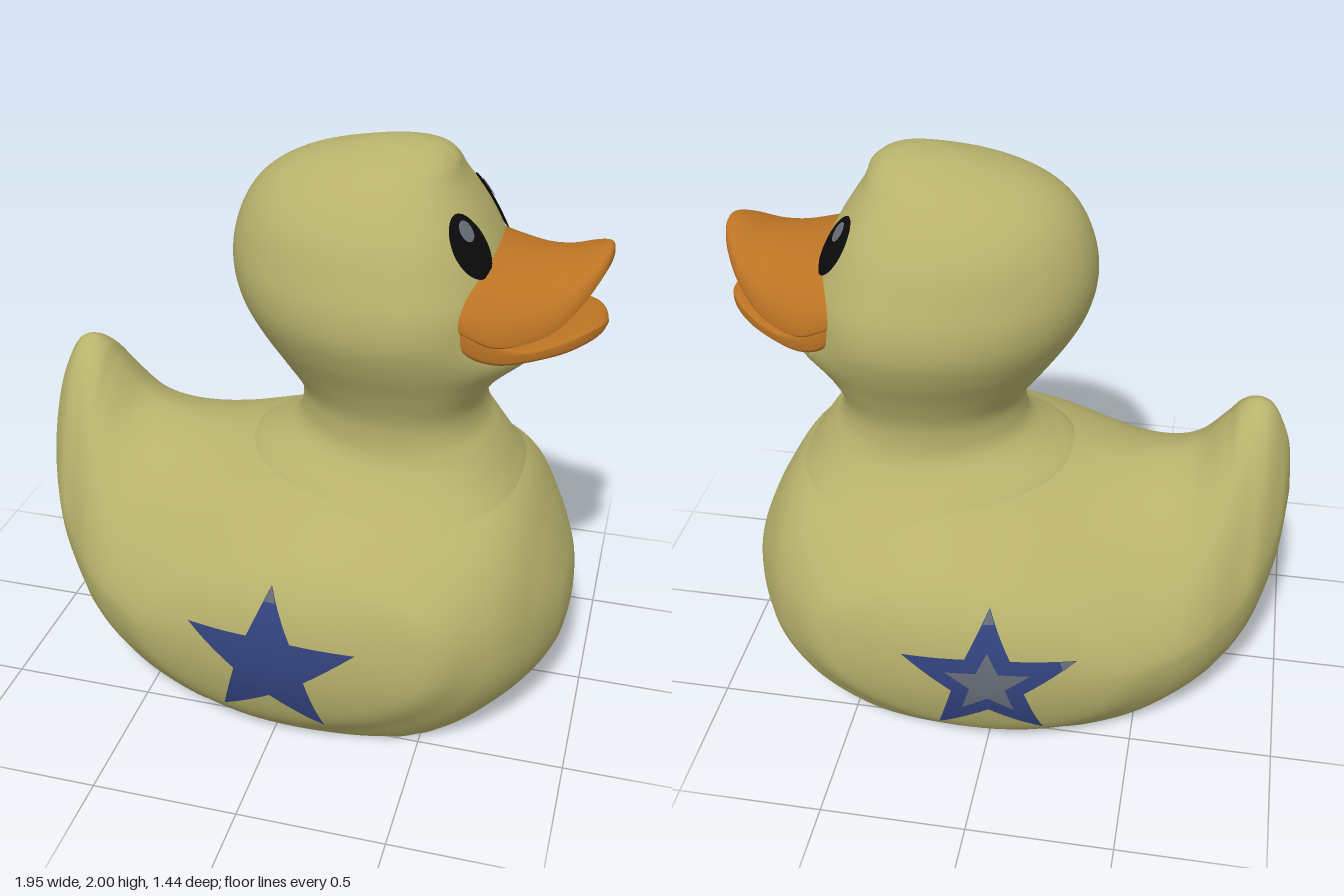
import * as THREE from 'three';

const mat = (name, color, side = THREE.FrontSide) => {
  const m = new THREE.MeshStandardMaterial({ color, side });
  m.name = name;
  return m;
};

// Smooth curve through the rows of a table, s from 0 to 1
function rowAt(table, s) {
  const last = table.length - 1;
  const f = Math.min(Math.max(s, 0), 1) * last;
  const i = Math.min(Math.floor(f), last - 1), t = f - i;
  const at = k => table[Math.min(Math.max(k, 0), last)];
  const [a, b, c, d] = [at(i - 1), at(i), at(i + 1), at(i + 2)];
  return b.map((_, k) => 0.5 * (2 * b[k] + (c[k] - a[k]) * t
    + (2 * a[k] - 5 * b[k] + 4 * c[k] - d[k]) * t * t
    + (3 * b[k] - a[k] - 3 * c[k] + d[k]) * t * t * t));
}

// Row whose first column equals a given value
function rowFor(table, value) {
  let lo = 0, hi = 1;
  for (let i = 0; i < 30; i++) {
    const mid = (lo + hi) / 2;
    if (rowAt(table, mid)[0] < value) lo = mid; else hi = mid;
  }
  return rowAt(table, lo);
}

function geometryFrom(points, index) {
  const g = new THREE.BufferGeometry();
  g.setAttribute('position', new THREE.Float32BufferAttribute(points, 3));
  g.setIndex(index);
  g.computeVertexNormals();
  return g;
}

// Skin over closed rings; ring(row, angle) gives a point
function loft(table, ring, steps, sides) {
  const points = [], index = [];
  for (let i = 0; i <= steps; i++) {
    const row = rowAt(table, i / steps);
    for (let j = 0; j < sides; j++) points.push(...ring(row, (j / sides) * Math.PI * 2));
  }
  for (let i = 0; i < steps; i++) {
    for (let j = 0; j < sides; j++) {
      const a = i * sides + j, c = i * sides + (j + 1) % sides;
      index.push(a, a + sides, c, c, a + sides, c + sides);
    }
  }
  return geometryFrom(points, index);
}

// Thin painted patch: an outline filled with rings and laid on a surface
function patch(outline, centre, place, rings = 8) {
  const points = [], index = [], n = outline.length;
  for (let i = 0; i <= rings; i++) {
    for (const [u, v] of outline) {
      const k = i / rings;
      points.push(...place(centre[0] + (u - centre[0]) * k, centre[1] + (v - centre[1]) * k));
    }
  }
  for (let i = 0; i < rings; i++) {
    for (let j = 0; j < n; j++) {
      const a = i * n + j, b = i * n + (j + 1) % n;
      index.push(a, a + n, b, b, a + n, b + n);
    }
  }
  return geometryFrom(points, index);
}

function subdivide(corners, n) {
  return corners.flatMap((p, i) => {
    const q = corners[(i + 1) % corners.length];
    return Array.from({ length: n }, (_, k) => [p[0] + (q[0] - p[0]) * k / n, p[1] + (q[1] - p[1]) * k / n]);
  });
}

// Body and tail: x, lowest y, widest y, top y, half width
const BODY = [
  [-0.975, 0.8, 0.8, 0.8, 0], [-0.96, 0.58, 0.76, 0.97, 0.12], [-0.93, 0.42, 0.68, 1.07, 0.2],
  [-0.885, 0.27, 0.6, 1.15, 0.28], [-0.83, 0.16, 0.52, 1.17, 0.335], [-0.78, 0.1, 0.48, 1.145, 0.385],
  [-0.735, 0.055, 0.45, 1.085, 0.43], [-0.64, -0.02, 0.42, 0.975, 0.5], [-0.5, -0.12, 0.4, 0.92, 0.565],
  [-0.32, -0.2, 0.4, 0.9, 0.62], [-0.1, -0.25, 0.4, 0.92, 0.665], [0.15, -0.25, 0.4, 0.95, 0.682],
  [0.4, -0.22, 0.4, 0.95, 0.66], [0.6, -0.1, 0.4, 0.93, 0.615], [0.75, 0.03, 0.4, 0.85, 0.51],
  [0.85, 0.12, 0.4, 0.7, 0.36], [0.91, 0.21, 0.4, 0.57, 0.225], [0.935, 0.3, 0.4, 0.49, 0.12],
  [0.945, 0.4, 0.4, 0.4, 0],
];
const { smoothstep } = THREE.MathUtils;
// Low swelling of the folded wing
const wing = (x, y) => 0.03 * (1 - smoothstep(Math.hypot((x - 0.05) / 0.68, (y - 0.4 - 0.09 * x) / 0.39), 0.74, 1));
// The back narrows towards its ridge from the neck to the tail
function upperWidth(x, u) {
  const back = 1 - smoothstep(x, -0.62, 0);
  return Math.pow(Math.max(0, 1 - Math.pow(u, 2.4 - 1.1 * back)), 0.5 + 0.1 * back);
}
function bodyRing([x, yb, ym, yt, w], a) {
  const s = Math.sin(a), c = Math.cos(a);
  const y = s > 0 ? ym + (yt - ym) * s : Math.max(0, ym + (ym - yb) * s);
  const z = w * (s > 0 ? upperWidth(x, s) : Math.abs(c)) + wing(x, y) * Math.min(1, Math.abs(c) * 3);
  return [x, y, Math.sign(c) * z];
}
function bodySide(x, y) {
  const [, yb, ym, yt, w] = rowFor(BODY, x);
  const u = y > ym ? (y - ym) / (yt - ym) : (ym - y) / (ym - yb);
  return w * (y > ym ? upperWidth(x, Math.min(u, 1)) : Math.sqrt(Math.max(0, 1 - u * u))) + wing(x, y);
}

// Neck and head: y, back x, front x, half width
const HEAD = [
  [0.75, -0.26, 0.8, 0.53], [0.8, -0.26, 0.775, 0.488], [0.85, -0.25, 0.745, 0.437], [0.9, -0.22, 0.712, 0.388],
  [0.95, -0.13, 0.68, 0.347], [1, -0.065, 0.645, 0.32], [1.06, -0.04, 0.605, 0.31], [1.14, -0.045, 0.595, 0.317],
  [1.24, -0.115, 0.63, 0.355], [1.35, -0.19, 0.65, 0.41], [1.45, -0.245, 0.665, 0.443], [1.55, -0.273, 0.665, 0.442],
  [1.65, -0.272, 0.63, 0.412], [1.75, -0.243, 0.58, 0.372], [1.83, -0.195, 0.53, 0.317], [1.89, -0.125, 0.49, 0.255],
  [1.94, -0.02, 0.465, 0.185], [1.975, 0.12, 0.43, 0.115], [1.993, 0.21, 0.37, 0.06], [1.998, 0.3, 0.3, 0],
];
// Egg-shaped plan: round at the back, blunter and shorter at the face
function headRing([y, xb, xf, w], a) {
  const c = Math.cos(a), s = Math.sin(a), power = c > 0 ? 2 / 2.3 : 1;
  const middle = xb + (xf - xb) * 0.59;
  const reach = c > 0 ? xf - middle : middle - xb;
  // The throat bulges forward under the bill
  const throat = 0.12 * Math.exp(-(((y - 1.35) / 0.085) ** 2)) * Math.max(0, c) ** 3;
  return [middle + Math.sign(c) * reach * Math.abs(c) ** power + throat, y, w * Math.sign(s) * Math.abs(s) ** power];
}

// Bill halves: x, half width, centre top, side edge, centre bottom
const UPPER_BILL = [
  [0.45, 0.345, 1.68, 1.53, 1.42], [0.54, 0.356, 1.7, 1.515, 1.42], [0.65, 0.338, 1.68, 1.465, 1.42],
  [0.75, 0.288, 1.667, 1.465, 1.45], [0.83, 0.238, 1.675, 1.495, 1.5], [0.9, 0.178, 1.698, 1.565, 1.565],
  [0.945, 0.112, 1.71, 1.63, 1.62], [0.966, 0.055, 1.705, 1.67, 1.65], [0.973, 0, 1.68, 1.68, 1.68],
];
const LOWER_BILL = [
  [0.45, 0.34, 1.6, 1.52, 1.46], [0.54, 0.352, 1.58, 1.49, 1.41], [0.6, 0.346, 1.54, 1.455, 1.375],
  [0.67, 0.322, 1.47, 1.43, 1.362], [0.75, 0.275, 1.435, 1.42, 1.367], [0.85, 0.208, 1.45, 1.43, 1.38],
  [0.92, 0.14, 1.465, 1.445, 1.4], [0.96, 0.07, 1.46, 1.445, 1.42], [0.975, 0, 1.44, 1.44, 1.44],
];
const billRing = power => ([x, w, top, edge, bottom], a) => {
  const s = Math.sin(a), k = Math.pow(Math.abs(s), power);
  return [x, edge + ((s > 0 ? top : bottom) - edge) * k, w * Math.cos(a)];
};

// Star with a slightly short top arm
function starOutline(cx, cy, r) {
  const corners = Array.from({ length: 10 }, (_, i) => {
    const a = Math.PI / 2 + i * Math.PI / 5, d = i % 2 ? r * 0.42 : i ? r : r * 0.92;
    return [cx + d * Math.cos(a), cy + d * Math.sin(a)];
  });
  return subdivide(corners, 5);
}

export function createModel() {
  const yellow = mat('dull yellow', 0xb8b26c);
  const orange = mat('orange', 0xbc7424);
  const blue = mat('star blue', 0x33437f, THREE.DoubleSide);
  const black = mat('eye black', 0x0b0b0b, THREE.DoubleSide);
  const grey = mat('grey', 0x666c76, THREE.DoubleSide);
  const model = new THREE.Group();
  const add = (name, geometry, material) => {
    const mesh = new THREE.Mesh(geometry, material);
    mesh.name = name;
    model.add(mesh);
    return mesh;
  };

  add('bodyAndTail', loft(BODY, bodyRing, 126, 96), yellow);
  add('neckAndHead', loft(HEAD, headRing, 114, 96), yellow);

  // Tuft on the crown
  const tuft = add('tuft', new THREE.SphereGeometry(1, 32, 20), yellow);
  tuft.scale.set(0.15, 0.08, 0.13);
  tuft.position.set(0.325, 1.92, 0);

  add('upperBill', loft(UPPER_BILL, billRing(1), 48, 64), orange);
  add('lowerBill', loft(LOWER_BILL, billRing(0.4), 48, 64), orange);

  for (const side of [1, -1]) {
    const name = side > 0 ? 'left' : 'right';

    // Eyes wrapped on the head, in angle and height
    const onHead = lift => (a, y) => {
      const [px, py, pz] = headRing(rowFor(HEAD, y), a);
      return [px + lift * Math.cos(a), py + lift * 0.4, side * (pz + lift * Math.sin(a))];
    };
    const oval = (a, y, ra, ry) => Array.from({ length: 32 }, (_, i) => {
      const t = i / 32 * Math.PI * 2;
      return [a + ra * Math.cos(t) + ry * 0.4 * Math.sin(t), y + ry * Math.sin(t)];
    });
    add(name + 'Eye', patch(oval(0.55, 1.732, 0.23, 0.095), [0.55, 1.732], onHead(0.008)), black);
    add(name + 'EyeGlint', patch(oval(0.55, 1.777, 0.085, 0.03), [0.55, 1.777], onHead(0.012), 3), grey);

    // Stars wrapped on the flanks
    const onBody = lift => (x, y) => [x, y, side * (bodySide(x, y) + lift)];
    const cx = side > 0 ? 0.025 : -0.025, cy = 0.388, r = 0.308;
    add(name + 'Star', patch(starOutline(cx, cy, r), [cx, cy], onBody(0.006)), blue);

    // Pale arm tips: the top one on both flanks, the rear one on the right flank
    const addTip = (tipName, angle, reach) => {
      const at = (d, s) => [cx + d * Math.cos(angle) - s * Math.sin(angle), cy + d * Math.sin(angle) + s * Math.cos(angle)];
      const tip = subdivide([at(reach, 0), at(reach - 0.05, 0.019), at(reach - 0.05, -0.019)], 3);
      add(tipName, patch(tip, at(reach - 0.03, 0), onBody(0.009), 3), grey);
    };
    addTip(name + 'StarTopTip', Math.PI / 2, r * 0.92);
    if (side < 0) {
      addTip('rightStarRearTip', Math.PI * 0.9, r);
      add('innerStar', patch(starOutline(cx, cy, 0.15), [cx, cy], onBody(0.0095)), grey);
    }
  }
  return model;
}
